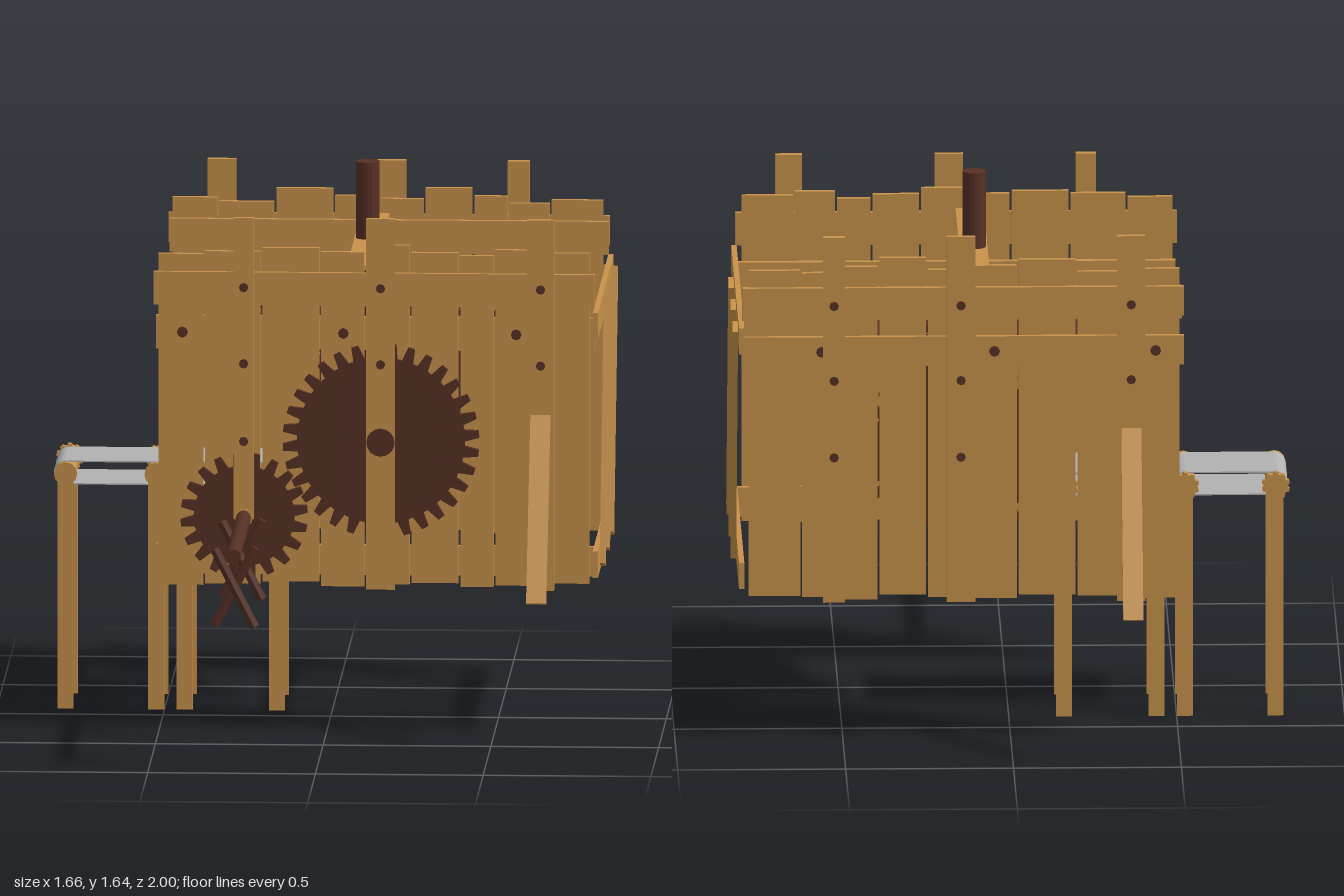
import * as THREE from 'three';

const mat = (color, side = THREE.FrontSide) => new THREE.MeshStandardMaterial({ color, side, flatShading: true });
const WOOD = mat(0xc8924a), DARK = mat(0x573024), STEEL = mat(0x565c5d), BELT = mat(0xb2b2b2, THREE.DoubleSide);

export function createModel() {
  const root = new THREE.Group();

  function add(name, geo, material, x = 0, y = 0, z = 0) {
    const m = new THREE.Mesh(geo, material);
    m.name = name;
    m.position.set(x, y, z);
    root.add(m);
    return m;
  }
  // box given by its limits on each axis
  const board = (name, x0, x1, y0, y1, z0, z1, material = WOOD) =>
    add(name, new THREE.BoxGeometry(x1 - x0, y1 - y0, z1 - z0), material, (x0 + x1) / 2, (y0 + y1) / 2, (z0 + z1) / 2);
  // bar running between two points
  function span(name, a, b, geoOf, material) {
    const p = new THREE.Vector3(...a), q = new THREE.Vector3(...b);
    const m = add(name, geoOf(p.distanceTo(q)), material);
    m.position.copy(p).lerp(q, 0.5);
    m.quaternion.setFromUnitVectors(new THREE.Vector3(0, 1, 0), q.sub(p).normalize());
    return m;
  }
  const rod = (name, a, b, r, material = DARK, sides = 16) =>
    span(name, a, b, (l) => new THREE.CylinderGeometry(r, r, l, sides), material);
  const slat = (name, a, b, w, d) => span(name, a, b, (l) => new THREE.BoxGeometry(w, l, d), WOOD);

  // toothed wheel in the xy plane, with optional sector openings
  function gearGeometry(R, root, teeth, depth, openings = []) {
    const s = new THREE.Shape();
    for (let i = 0; i < teeth; i++) {
      [[0, root], [0.2, R], [0.56, R], [0.7, root]].forEach(([f, r], k) => {
        const a = ((i + f) / teeth) * Math.PI * 2;
        s[i + k ? 'lineTo' : 'moveTo'](r * Math.cos(a), r * Math.sin(a));
      });
    }
    s.closePath();
    for (const [a0, a1, r0, r1] of openings) {
      const h = new THREE.Path();
      h.absarc(0, 0, r1, a0, a1, false);
      h.absarc(0, 0, r0, a1, a0, true);
      h.closePath();
      s.holes.push(h);
    }
    const g = new THREE.ExtrudeGeometry(s, { depth, bevelEnabled: false, curveSegments: 10 });
    return g.translate(0, 0, -depth / 2);
  }

  // plank walls
  const edges = [-0.505, -0.365, -0.195, -0.02, 0.115, 0.25, 0.395, 0.5, 0.625, 0.785];
  const tops = {
    front: [1.44, 1.45, 1.46, 1.45, 1.47, 1.45, 1.44, 1.46, 1.45],
    back: [1.45, 1.44, 1.48, 1.46, 1.45, 1.485, 1.46, 1.44, 1.45],
  };
  for (const [side, zc] of [['front', 0.257], ['back', -0.665]]) {
    for (let i = 0; i < 9; i++) {
      const z = zc + (i % 2 ? 0.004 : -0.004);
      board(side + 'WallPlank', edges[i] + 0.003, edges[i + 1] - 0.003, 0.44 + (i % 3) * 0.006, tops[side][i], z - 0.009, z + 0.009);
    }
  }

  // horizontal beams on the walls
  board('frontTopBeam', -0.515, 0.8, 1.29, 1.39, 0.272, 0.288);
  board('frontInnerBeam', -0.51, 0.8, 1.15, 1.25, 0.222, 0.242);
  board('frontInnerBottomBeam', -0.51, 0.8, 0.47, 0.56, 0.222, 0.242);
  board('backTopBeam', -0.515, 0.8, 1.31, 1.4, -0.697, -0.681);
  board('backLowerBeam', -0.515, 0.8, 1.16, 1.25, -0.697, -0.681);
  board('backInnerBeam', -0.51, 0.8, 1.29, 1.39, -0.65, -0.632);

  // tall posts with bolts
  const posts = [
    [1, -0.245, 0.06, 0.65], [1, 0.163, 0.085, 0.44], [1, 0.64, 0.08, 0.44],
    [-1, -0.357, 0.085, 0.44], [-1, 0.15, 0.085, 0.44], [-1, 0.528, 0.065, 0.44],
  ];
  for (const [dir, x, w, y0] of posts) {
    const z = dir > 0 ? 0.312 : -0.706;
    board('post', x - w / 2, x + w / 2, y0, 1.56, z - 0.011, z + 0.011);
    for (const y of [1.35, 1.12, 0.885]) rod('postBolt', [x, y, z], [x, y, z + dir * 0.015], 0.014, DARK, 8);
  }
  for (const x of [-0.43, 0.05, 0.565]) {
    rod('wallBolt', [x, 1.205, 0.26], [x, 1.205, 0.277], 0.016, DARK, 8);
    rod('wallBolt', [x, 1.205, -0.69], [x, 1.205, -0.705], 0.016, DARK, 8);
  }

  // slanted ground braces
  slat('frontBrace', [0.64, 0.97, 0.325], [0.64, 0.45, 0.607], 0.06, 0.012);
  slat('backBrace', [-0.357, 0.97, -0.717], [-0.357, 0.45, -0.995], 0.06, 0.012);

  // side frame
  for (const y of [0.52, 1.24]) board('sideBeam', 0.795, 0.811, y - 0.04, y + 0.04, -0.705, 0.318);
  for (const z of [0.2, -0.07, -0.34]) slat('sideDiagonal', [0.82, 0.5, z], [0.82, 1.26, z - 0.26], 0.016, 0.06);

  // overhead bar and upright shaft
  board('overheadBar', 0.06, 0.145, 1.393, 1.408, -0.655, 0.255);
  rod('uprightShaft', [0.1, 0.78, -0.225], [0.1, 1.64, -0.225], 0.035);
  rod('shaftSleeve', [0.1, 1.0, -0.225], [0.1, 1.35, -0.225], 0.044);

  // horizontal wheel with spoked openings
  const openings = [[0.14, 0.7, 0.13, 0.29], [0.82, 1.36, 0.13, 0.29]];
  const crown = add('horizontalGear', gearGeometry(0.405, 0.35, 32, 0.022, openings), DARK, 0.1, 1.16, -0.225);
  crown.rotation.x = -Math.PI / 2;
  for (const a of [2.5, 3.6, 4.4, 5.0, 5.8])
    rod('gearPeg', [0.1 + 0.31 * Math.cos(a), 1.15, -0.225 - 0.31 * Math.sin(a)],
      [0.1 + 0.31 * Math.cos(a), 1.178, -0.225 - 0.31 * Math.sin(a)], 0.022, DARK, 10);

  // upright wheels and their axle
  add('frontLargeGear', gearGeometry(0.293, 0.25, 32, 0.018), DARK, 0.163, 0.885, 0.287);
  add('backLargeGear', gearGeometry(0.285, 0.245, 32, 0.026), DARK, 0.163, 0.885, -0.618);
  rod('mainAxle', [0.163, 0.885, -0.67], [0.163, 0.885, 0.3], 0.025);
  rod('mainAxleHub', [0.163, 0.885, 0.27], [0.163, 0.885, 0.33], 0.042);
  add('frontSmallGear', gearGeometry(0.19, 0.15, 20, 0.018), DARK, -0.245, 0.655, 0.29);

  // drive shaft on crossed trestles
  rod('driveShaft', [-0.245, 0.655, 0.25], [-0.245, 0.655, 1.0], 0.022);
  rod('driveShaftCollar', [-0.245, 0.655, 0.29], [-0.245, 0.655, 0.33], 0.027, WOOD);
  for (const z of [0.46, 0.94]) {
    for (const s of [-1, 1])
      rod('trestleLeg', [-0.243 - s * 0.06, 0.67, z + s * 0.014], [-0.243 + s * 0.06, 0.435, z + s * 0.014], 0.014, DARK, 8);
  }

  // conical screw: a lathe whose radius follows a helix
  const profile = [];
  for (let i = 0; i <= 60; i++) profile.push(new THREE.Vector2(1, i / 60));
  const screw = new THREE.LatheGeometry(profile, 36);
  const p = screw.attributes.position;
  for (let i = 0; i < p.count; i++) {
    const a = Math.atan2(p.getZ(i), p.getX(i)), t = p.getY(i);
    const turn = a / (Math.PI * 2) + t * 5;
    const f = turn - Math.floor(turn);
    const ridge = Math.min(1, 2.6 * Math.min(f, 1 - f));
    const r = 0.148 * Math.pow(t, 0.65) * (0.68 + 0.32 * ridge);
    p.setXYZ(i, r * Math.cos(a), 0.47 + t * 0.33, r * Math.sin(a));
  }
  screw.computeVertexNormals();
  add('screw', screw, mat(0x565c5d, THREE.DoubleSide), 0.1, 0, -0.225);
  rod('screwCap', [0.1, 0.795, -0.225], [0.1, 0.818, -0.225], 0.16, STEEL, 28);

  // two belt conveyors
  const R = 0.036;
  for (const [xa, xb] of [[-0.795, -0.525], [-0.44, -0.165]]) {
    const loop = (Type, r) => {
      const s = new Type();
      s.absarc(xb, 0.71, r, -Math.PI / 2, Math.PI / 2, false);
      s.absarc(xa, 0.71, r, Math.PI / 2, Math.PI * 1.5, false);
      s.closePath();
      return s;
    };
    const ring = loop(THREE.Shape, R);
    ring.holes.push(loop(THREE.Path, R - 0.004));
    add('conveyorBelt', new THREE.ExtrudeGeometry(ring, { depth: 0.245, bevelEnabled: false, curveSegments: 10 }), BELT, 0, 0, -0.36);
    for (const x of [xa, xb]) {
      rod('roller', [x, 0.71, -0.39], [x, 0.71, -0.1], 0.03, WOOD, 12);
      const cap = add('rollerCap', gearGeometry(0.042, 0.036, 10, 0.025), WOOD, x, 0.71, -0.385);
      cap.rotation.z = 0.1;
      rod('rollerEnd', [x, 0.71, -0.113], [x, 0.71, -0.092], 0.035, WOOD, 12);
      for (const z of [-0.098, -0.365]) board('conveyorLeg', x - 0.024, x + 0.024, 0, 0.71, z - 0.005, z + 0.005);
    }
  }
  return root;
}
